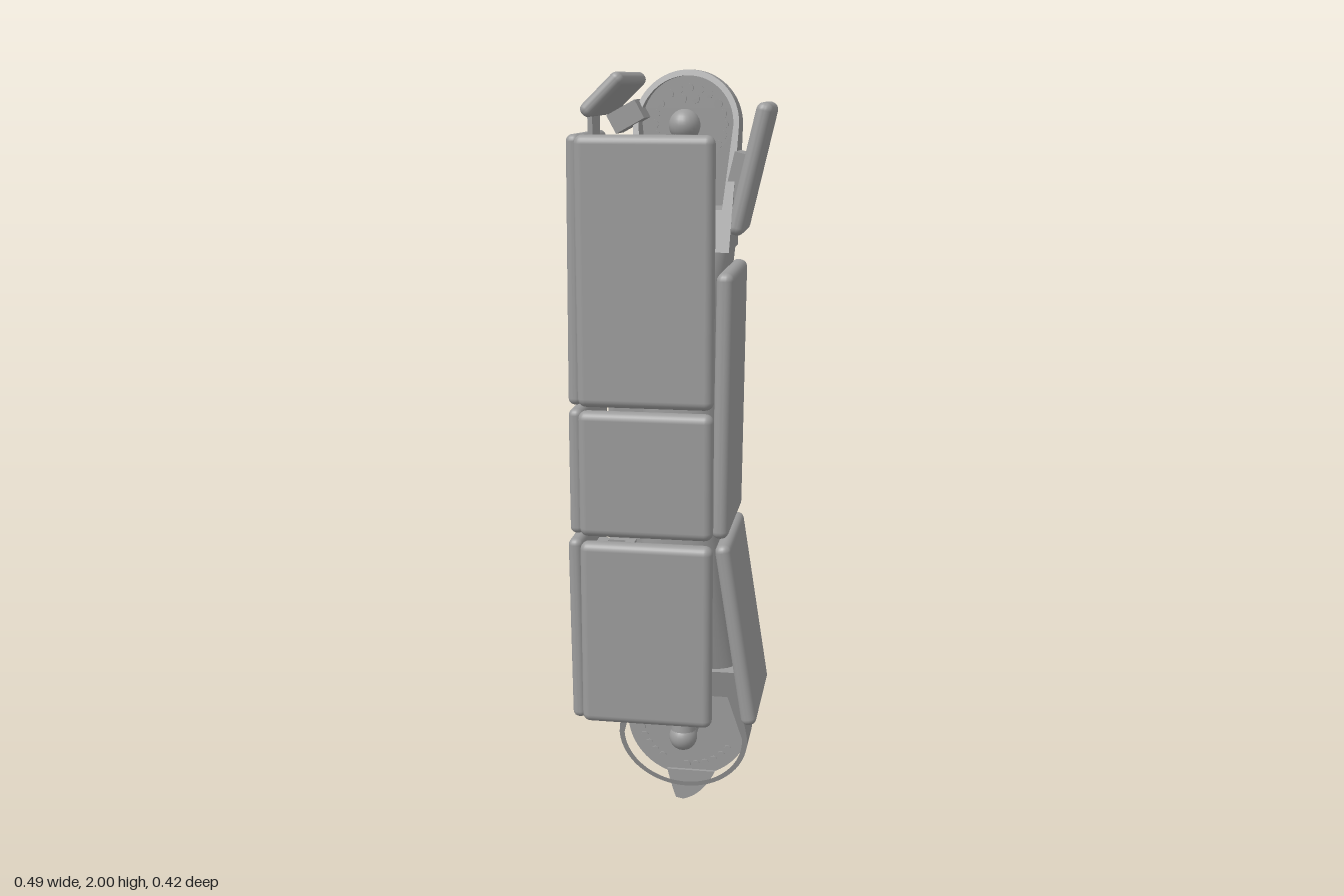
import * as THREE from 'three';
import { RoundedBoxGeometry } from 'three/addons/geometries/RoundedBoxGeometry.js';
import { toCreasedNormals } from 'three/addons/utils/BufferGeometryUtils.js';

const grey = new THREE.MeshStandardMaterial({ color: 0x9c9c9c });
grey.name = 'grey';
const CX = 0.02; // centre line of the inner frame

export function createModel() {
  const root = new THREE.Group();
  root.name = 'paddedLimb';

  function add(name, geometry, x = 0, y = 0, z = 0, rx = 0, ry = 0, rz = 0) {
    const mesh = new THREE.Mesh(geometry, grey);
    mesh.name = name;
    mesh.position.set(x, y, z);
    mesh.rotation.set(rx, ry, rz);
    root.add(mesh);
    return mesh;
  }

  // Cushioned cover panels
  const panel = (name, w, h, d, x, y, z, rz = 0) =>
    add(name, new RoundedBoxGeometry(w, h, d, 3, Math.min(w, d) * 0.46), x, y, z, 0, 0, rz);
  const rows = [[1.2, 1.85], [0.87, 1.19], [0.37, 0.855]];
  rows.forEach(([a, b], i) => {
    const y = (a + b) / 2, h = b - a;
    panel('frontPanel', 0.335, h, 0.046, -0.042, y, 0.19);
    panel('rightPanel', 0.036, h, 0.325, [-0.217, -0.22, -0.224][i], y, 0.025, [-0.008, 0, 0.01][i]);
  });
  panel('rightTopPanel', 0.035, 0.13, 0.325, -0.145, 1.94, 0.025, -0.8);
  panel('leftTopPanel', 0.042, 0.325, 0.165, 0.188, 1.762, -0.047, -0.23);
  panel('leftMiddlePanel', 0.042, 0.66, 0.32, 0.144, 1.2, 0.025, -0.012);
  panel('leftLowerPanel', 0.04, 0.485, 0.325, 0.183, 0.615, 0.025, 0.155);
  panel('backUpperPanel', 0.33, 0.325, 0.045, -0.042, 1.168, -0.168);
  panel('backLowerPanel', 0.33, 0.485, 0.045, -0.042, 0.748, -0.168);

  // Core body lofted through rounded sections: y, half width, back z, front z
  const sections = [
    [0.43, 0.15, -0.15, 0.03], [0.52, 0.138, -0.14, 0.055], [0.65, 0.122, -0.136, 0.072],
    [0.85, 0.108, -0.135, 0.08], [1.2, 0.106, -0.135, 0.08], [1.48, 0.112, -0.135, 0.072],
    [1.57, 0.122, -0.135, 0.05], [1.64, 0.127, -0.135, 0.03],
  ];
  const N = 40, pos = [], idx = [];
  sections.forEach(([y, r, zb, zf]) => {
    for (let j = 0; j < N; j++) {
      const t = (j / N) * Math.PI * 2, c = Math.cos(t), s = Math.sin(t);
      const p = s > 0 ? 0.75 : 0.3; // rounder in front, boxy at the back
      const zm = -0.03;
      pos.push(CX + r * Math.sign(c) * Math.abs(c) ** p, y,
        zm + (s > 0 ? zf - zm : zm - zb) * Math.sign(s) * Math.abs(s) ** p);
    }
  });
  const last = (sections.length - 1) * N;
  for (let i = 0; i < sections.length - 1; i++) {
    for (let j = 0; j < N; j++) {
      const a = i * N + j, b = i * N + ((j + 1) % N);
      idx.push(a, a + N, b, b, a + N, b + N);
    }
  }
  for (let j = 1; j < N - 1; j++) idx.push(0, j, j + 1, last, last + j + 1, last + j);
  const core = new THREE.BufferGeometry();
  core.setAttribute('position', new THREE.Float32BufferAttribute(pos, 3));
  core.setIndex(idx);
  add('coreBody', toCreasedNormals(core, 0.6));

  // Joint housing: arched cup with a slanted front rim and a recessed floor
  function housing(name, cy, R, dir, zBack, zTip, slope, len, endHalf, holeLen) {
    const arch = (r, l, e) => {
      const pts = [];
      for (let i = 0; i <= 40; i++) {
        const t = (i / 40) * Math.PI;
        pts.push(new THREE.Vector2(CX + r * Math.cos(t), cy + dir * r * Math.sin(t)));
      }
      pts.push(new THREE.Vector2(CX - e, cy - dir * l), new THREE.Vector2(CX + e, cy - dir * l));
      return pts;
    };
    const shape = new THREE.Shape(arch(R, len, endHalf));
    shape.holes.push(new THREE.Path(arch(R - 0.014, holeLen, endHalf - 0.022)));
    const g = new THREE.ExtrudeGeometry(shape, { depth: 1, bevelEnabled: false });
    const p = g.attributes.position;
    for (let i = 0; i < p.count; i++) {
      const fromTip = cy + dir * R - p.getY(i);
      p.setZ(i, p.getZ(i) > 0.5 ? zTip + slope * dir * fromTip : zBack);
    }
    add(name + 'Housing', toCreasedNormals(g, 0.5));
    const floor = new THREE.ExtrudeGeometry(new THREE.Shape(arch(R - 0.004, len - 0.01, endHalf - 0.01)),
      { depth: 0.03, bevelEnabled: false });
    add(name + 'Floor', toCreasedNormals(floor, 0.5), 0, 0, zBack + 0.002);
    return zBack + 0.032;
  }
  const topFloor = housing('upper', 1.865, 0.132, 1, -0.135, -0.09, 0.34, 0.3, 0.122, 0.2);
  const lowFloor = housing('lower', 0.243, 0.176, -1, -0.16, -0.07, 0.3, 0.22, 0.148, 0.14);

  // Round joint covers on the back
  const disc = (r, d) => new THREE.CylinderGeometry(r, r, d, 48);
  const q = Math.PI / 2;
  add('upperJointRing', disc(0.118, 0.02), CX, 1.865, -0.133, q);
  add('upperJointCap', disc(0.085, 0.03), CX, 1.865, -0.144, q);
  add('lowerJointRing', disc(0.155, 0.02), CX, 0.243, -0.16, q);
  add('lowerJointCap', disc(0.085, 0.03), CX, 0.243, -0.171, q);

  // Bolt heads grouped in arcs on the recessed floors
  const bolt = new THREE.CylinderGeometry(0.011, 0.011, 0.008, 10);
  function bolts(cy, z, radius, centres, count, step) {
    centres.forEach((deg) => {
      for (let i = 0; i < count; i++) {
        const t = THREE.MathUtils.degToRad(deg + (i - (count - 1) / 2) * step);
        add('bolt', bolt, CX + radius * Math.cos(t), cy + radius * Math.sin(t), z, q);
      }
    });
  }
  bolts(1.865, topFloor, 0.088, [90, 0, 180], 5, 17);
  bolts(1.865, topFloor, 0.064, [90], 2, 30);
  bolts(0.243, lowFloor, 0.138, [40, 140, 210, 295], 6, 11);

  // Rounded shafts rising out of the recesses
  function shaft(name, points, r, knob) {
    const curve = new THREE.CatmullRomCurve3(points.map((p) => new THREE.Vector3(...p)));
    add(name, new THREE.TubeGeometry(curve, 20, r, 20));
    add(name + 'Knob', new THREE.SphereGeometry(knob, 24, 16), ...points[0]);
  }
  shaft('upperShaft', [[CX, 1.865, -0.028], [CX, 1.75, -0.03], [CX, 1.55, -0.035]], 0.033, 0.039);
  shaft('lowerShaft', [[CX, 0.24, -0.022], [CX, 0.34, -0.03], [CX, 0.5, -0.035]], 0.033, 0.038);
  add('upperPivot', disc(0.034, 0.09), 0.01, 1.865, -0.07, q);
  add('lowerPivot', disc(0.034, 0.11), CX, 0.243, -0.08, q);

  // Fin under the lower joint
  const fin = new THREE.Shape();
  fin.moveTo(-0.04, 0.09);
  fin.quadraticCurveTo(-0.025, 0.03, -0.015, 0.004);
  fin.lineTo(0.005, 0);
  fin.quadraticCurveTo(0.06, 0.015, 0.095, 0.09);
  add('bottomFin', new THREE.ExtrudeGeometry(fin, { depth: 0.024, bevelEnabled: false }), 0, 0, -0.143);

  // Connector stubs on the back
  const stub = new THREE.CylinderGeometry(0.01, 0.03, 0.07, 12);
  add('upperConnector', stub, CX, 1.66, -0.175, -q);
  [-1, 1].forEach((s) => {
    add('upperConnectorProng', new THREE.ConeGeometry(0.015, 0.06, 8), CX + s * 0.027, 1.655, -0.16, -q);
    add('lowerConnector', new THREE.CylinderGeometry(0.013, 0.024, 0.06, 12), 0.0125 + s * 0.0975, 0.465, -0.168, -q);
  });

  // Perforated brackets carrying the panels
  const plate = new THREE.Shape();
  plate.moveTo(-0.037, 0); plate.lineTo(0.037, 0); plate.lineTo(0.037, 0.1); plate.lineTo(-0.037, 0.1);
  const hole = new THREE.Path();
  hole.moveTo(-0.018, 0.025); hole.lineTo(-0.018, 0.07); hole.lineTo(0.018, 0.07); hole.lineTo(0.018, 0.025);
  plate.holes.push(hole);
  const bracket = new THREE.ExtrudeGeometry(plate, { depth: 0.008, bevelEnabled: false });
  [0.45, 0.8, 0.93, 1.13, 1.27, 1.55].forEach((y) => {
    add('frontBracket', bracket, 0, y, 0.068, q);
    add('rightBracket', bracket, -0.105, y, 0.02, q, 0, q);
  });
  add('rightTopBracket', new THREE.BoxGeometry(0.012, 0.34, 0.09), -0.19, 1.72, 0.055);
  add('rightTopArm', new THREE.BoxGeometry(0.12, 0.05, 0.012), -0.13, 1.72, 0.02);
  add('rightTopStrut', new THREE.BoxGeometry(0.08, 0.05, 0.1), -0.125, 1.885, -0.06, 0, 0, 0.5);
  add('leftTopBracket', new THREE.BoxGeometry(0.05, 0.12, 0.1), 0.158, 1.74, -0.05, 0, 0, -0.23);
  add('leftLowerBracket', new THREE.BoxGeometry(0.06, 0.1, 0.08), 0.14, 0.6, -0.03, 0, 0, 0.155);

  return root;
}
